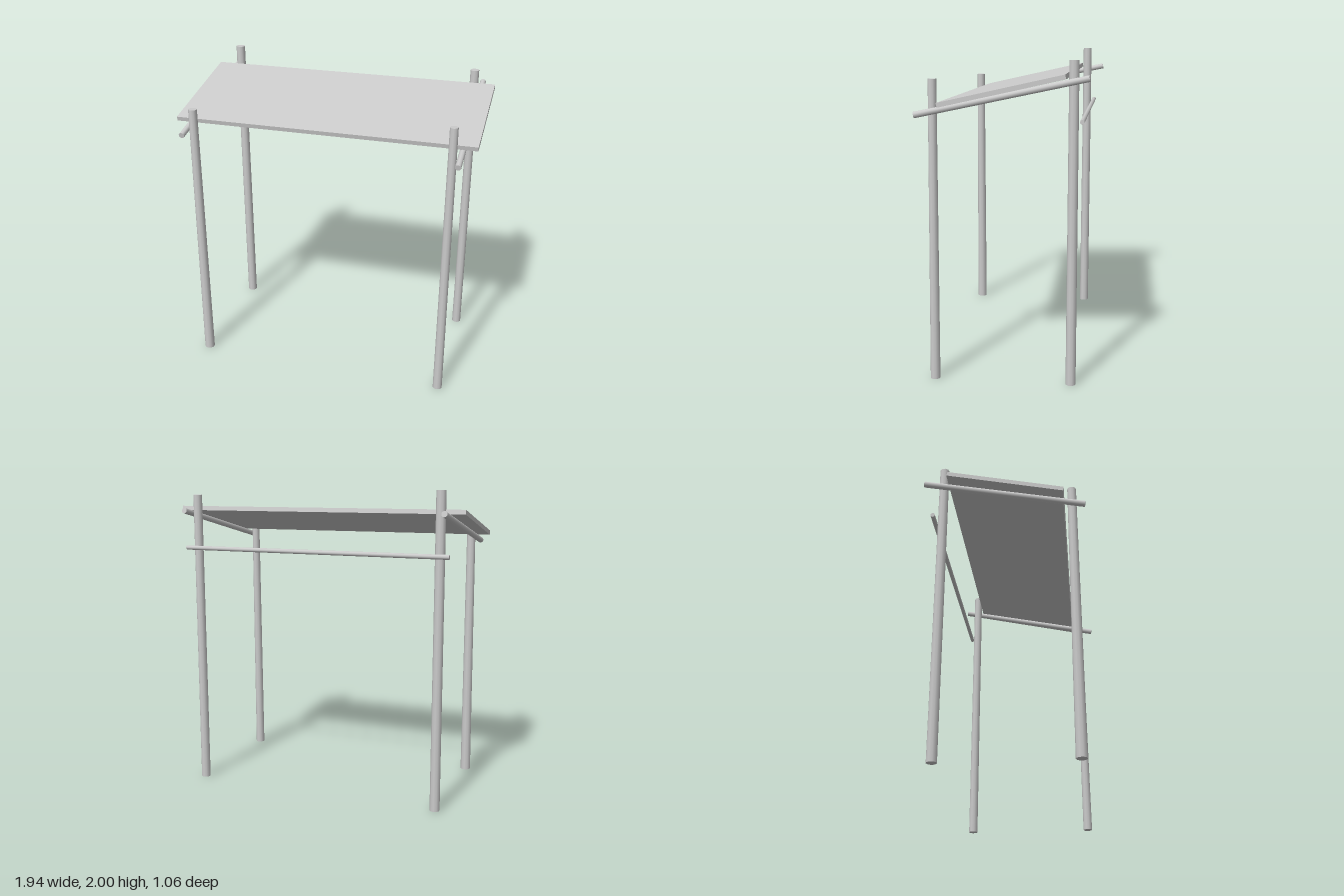
import * as THREE from 'three';

const material = new THREE.MeshStandardMaterial({ color: 0xcccccc });

// Round pole between two points, with a radius at each end
function pole(name, from, to, r0, r1 = r0, sides = 10) {
  const a = new THREE.Vector3(...from), b = new THREE.Vector3(...to);
  const dir = b.clone().sub(a);
  const mesh = new THREE.Mesh(new THREE.CylinderGeometry(r1, r0, dir.length(), sides), material);
  mesh.name = name;
  mesh.position.copy(a).add(b).multiplyScalar(0.5);
  mesh.quaternion.setFromUnitVectors(new THREE.Vector3(0, 1, 0), dir.normalize());
  return mesh;
}

export function createModel() {
  const model = new THREE.Group();
  model.name = 'leanToShelter';

  // Four rough posts, slightly leaning and of uneven height
  model.add(
    pole('frontRightPost', [-0.84, 0, 0.425], [-0.832, 1.8, 0.418], 0.034, 0.028),
    pole('frontLeftPost', [0.83, 0, 0.437], [0.828, 1.85, 0.421], 0.031, 0.026),
    pole('backRightPost', [-0.835, 0, -0.408], [-0.831, 2, -0.408], 0.032, 0.03),
    pole('backLeftPost', [0.829, 0, -0.406], [0.828, 1.96, -0.406], 0.031, 0.029)
  );

  // Sloping rails on the outside of the posts
  const railY = z => 1.753 - 0.2125 * z;
  for (const [name, x, z0, z1] of [
    ['rightRail', -0.882, 0.5, -0.526],
    ['leftRail', 0.878, 0.523, -0.497],
  ]) model.add(pole(name, [x, railY(z0), z0], [x, railY(z1), z1], 0.019));

  // Crossbar behind the back posts
  model.add(pole('backCrossbar', [-0.903, 1.61, -0.46], [0.89, 1.613, -0.458], 0.015, 0.014, 8));

  // Flat roof sheet lying on the rails
  const roof = new THREE.Mesh(new THREE.BoxGeometry(1.942, 0.028, 0.753), material);
  roof.name = 'roof';
  roof.position.set(0, 1.789, 0);
  roof.rotation.x = THREE.MathUtils.degToRad(12.6);
  model.add(roof);

  return model;
}
